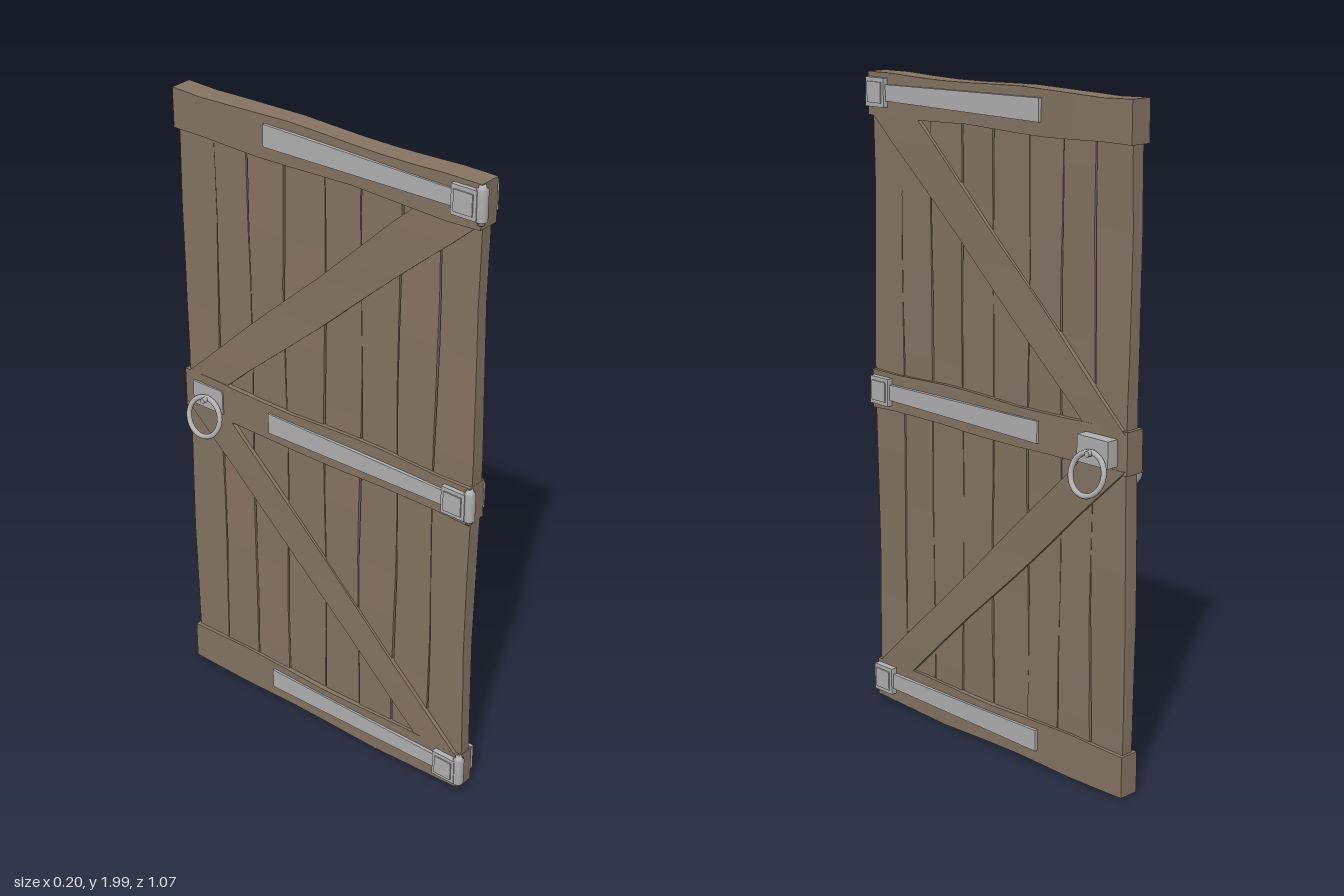
import * as THREE from 'three';

export function createModel() {
  const door = new THREE.Group();
  door.name = 'door';
  const wood = new THREE.MeshStandardMaterial({ color: 0x857462 });
  wood.name = 'weathered wood';
  const iron = new THREE.MeshStandardMaterial({ color: 0xb0b0b0 });
  iron.name = 'pale iron';

  const add = (name, geometry, material, parent = door) => {
    const mesh = new THREE.Mesh(geometry, material);
    mesh.name = name;
    parent.add(mesh);
    return mesh;
  };

  // Four-cornered slab between x0 and x1. Low and high ends are [y, z-, y, z+] pairs;
  // wobble bends its edges to look hand-hewn.
  const slab = (name, x0, x1, low, high, material, { ny = 1, nz = 1, wobble = 0, seed = 0, parent = door } = {}) => {
    let g = new THREE.BoxGeometry(1, 1, 1, 1, ny, nz);
    const p = g.attributes.position;
    const mix = THREE.MathUtils.lerp;
    for (let i = 0; i < p.count; i++) {
      const u = p.getX(i) + 0.5, v = p.getY(i) + 0.5, w = p.getZ(i) + 0.5;
      const y = mix(mix(low[0], low[2], w), mix(high[0], high[2], w), v);
      const z = mix(mix(low[1], low[3], w), mix(high[1], high[3], w), v);
      const along = ny > nz ? v : w, side = ny > nz ? w : v;
      const wave = wobble * Math.sin(along * 11 + seed * 2.3 + side * 2.1) * (0.7 + 0.3 * Math.sin(along * 23 + seed));
      const swell = wobble * 0.5 * Math.sin(along * 8 + seed * 1.7 + u * 3);
      p.setXYZ(i, mix(x0, x1, u) + swell, y + (nz > ny ? wave : 0), z + (ny > nz ? wave : 0));
    }
    g = g.toNonIndexed();
    g.computeVertexNormals();
    return add(name, g, material, parent);
  };
  const block = (name, x0, x1, y0, y1, z0, z1, material, options) =>
    slab(name, x0, x1, [y0, z0, y0, z1], [y1, z0, y1, z1], material, options);

  // Upright planks
  const seams = [-0.53, -0.4, -0.275, -0.145, 0, 0.13, 0.262, 0.39, 0.52];
  for (let i = 0; i < 8; i++) {
    block('plank', -0.041, 0.001, 0.04, 1.96, seams[i] + 0.002, seams[i + 1] - 0.002, wood,
      { ny: 12, wobble: 0.0045, seed: i + 1 });
  }

  // Cross rails
  [[0.012, 0.14], [0.97, 1.092], [1.868, 1.992]].forEach(([y0, y1], i) =>
    block('rail', -0.053, 0.013, y0, y1, -0.536, 0.522, wood, { nz: 10, wobble: 0.005, seed: i + 4 }));

  // Diagonal braces, meeting at the latch side
  slab('lowerBrace', -0.05, 0.011, [0.13, 0.37, 0.13, 0.51], [0.98, -0.53, 0.98, -0.36], wood,
    { ny: 10, wobble: 0.004, seed: 2 });
  slab('upperBrace', -0.05, 0.011, [1.085, -0.53, 1.085, -0.375], [1.88, 0.32, 1.88, 0.515], wood,
    { ny: 10, wobble: 0.004, seed: 6 });

  // Hinges: barrel, tapered straps and square bosses on both faces
  for (const y of [0.085, 1.03, 1.937]) {
    const hinge = new THREE.Group();
    hinge.name = 'hinge';
    door.add(hinge);
    const profile = [[0, -0.056], [0.01, -0.055], [0.011, -0.046], [0.017, -0.044],
      [0.017, 0.044], [0.011, 0.046], [0.01, 0.055], [0, 0.056]];
    add('hingeBarrel', new THREE.LatheGeometry(profile.map(([r, h]) => new THREE.Vector2(r, h)), 12), iron, hinge)
      .position.set(-0.05, y, 0.52);
    const opt = { parent: hinge };
    for (const [inner, outer, top, stud] of [[0.005, 0.023, 0.031, 0.035], [-0.045, -0.061, -0.068, -0.072]]) {
      const lo = Math.min(inner, outer), hi = Math.max(inner, outer);
      slab('hingeStrap', lo, hi, [y - 0.033, -0.2, y - 0.024, 0.45], [y + 0.033, -0.2, y + 0.024, 0.45], iron, opt);
      block('hingeBoss', Math.min(inner, top), Math.max(inner, top), y - 0.043, y + 0.043, 0.435, 0.515, iron, opt);
      block('hingeBossFace', Math.min(inner, stud), Math.max(inner, stud), y - 0.031, y + 0.031, 0.445, 0.505, iron, opt);
    }
  }

  // Ring pulls on both faces
  for (const [side, face, plate, ringX, z] of [[1, 0.005, 0.05, 0.075, -0.447], [-1, -0.045, -0.058, -0.079, -0.44]]) {
    const handle = new THREE.Group();
    handle.name = 'ringHandle';
    door.add(handle);
    block('handlePlate', Math.min(face, plate), Math.max(face, plate), 0.99, 1.068, -0.5, -0.383, iron, { parent: handle });
    const stem = add('handleStem', new THREE.CylinderGeometry(0.009, 0.009, 0.04, 10), iron, handle);
    stem.rotation.z = Math.PI / 2;
    stem.position.set(plate + side * 0.008, 1.028, z);
    const ring = add('handleRing', new THREE.TorusGeometry(0.061, 0.008, 10, 32), iron, handle);
    ring.rotation.order = 'ZYX';
    ring.rotation.set(0, Math.PI / 2, side * 0.26);
    ring.position.set(ringX, 0.971, z);
  }
  return door;
}
